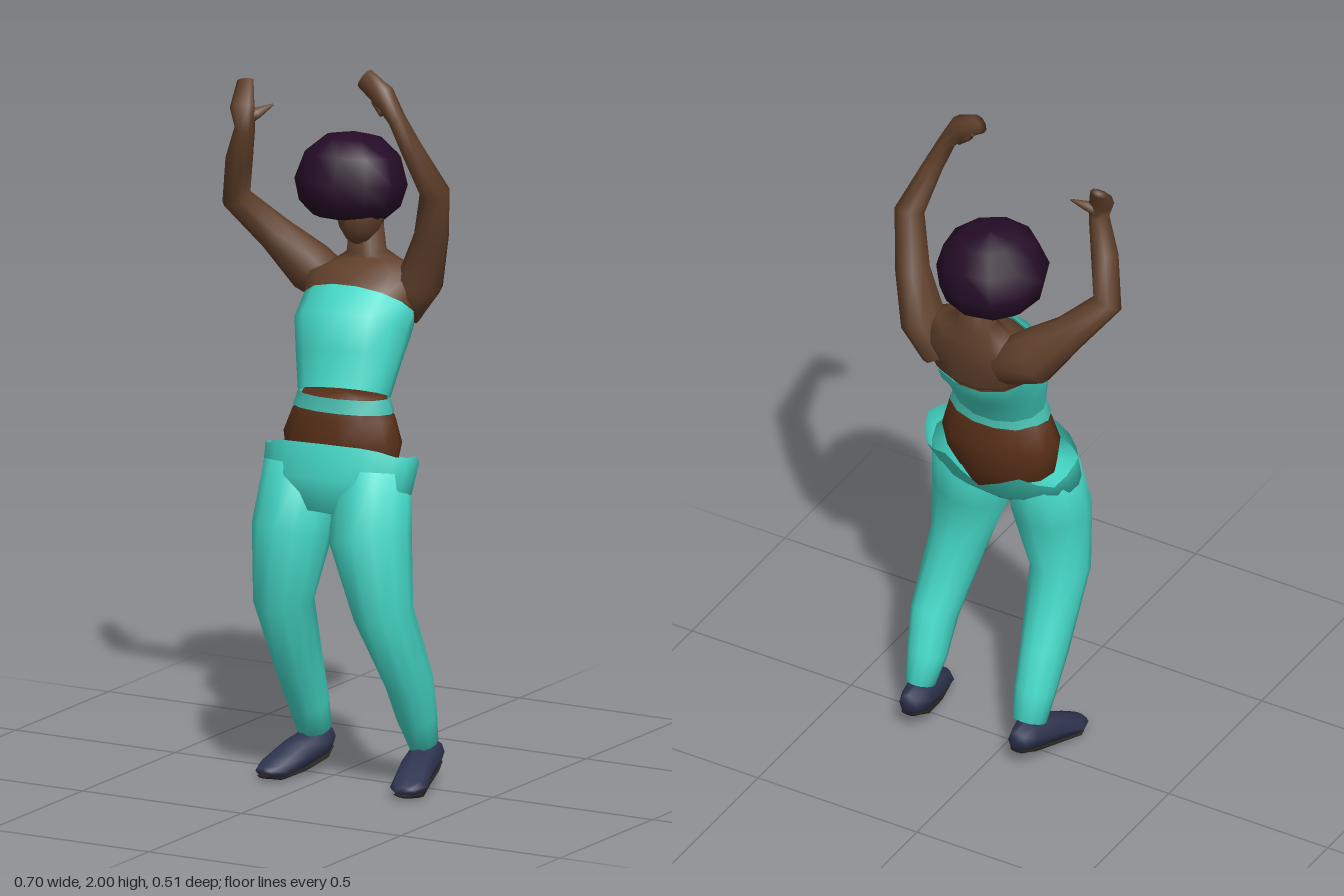
import * as THREE from 'three';

const mat = (name, color, side = THREE.FrontSide) => {
  const m = new THREE.MeshStandardMaterial({ color, side });
  m.name = name;
  return m;
};

// Skin over rings [x, y, z, rx, rz], each set square to the line through the centres.
function loft(rings, { sides = 12, capStart = true, capEnd = true, shape = null } = {}) {
  const pos = [], index = [];
  const centres = rings.map(r => new THREE.Vector3(r[0], r[1], r[2]));
  const last = rings.length - 1;
  rings.forEach((r, i) => {
    const t = centres[Math.min(i + 1, last)].clone().sub(centres[Math.max(i - 1, 0)]).normalize();
    const u = new THREE.Vector3(1, 0, 0).addScaledVector(t, -t.x).normalize();
    const v = new THREE.Vector3().crossVectors(u, t);
    for (let j = 0; j < sides; j++) {
      const a = (j / sides) * Math.PI * 2;
      const p = centres[i].clone()
        .addScaledVector(u, r[3] * Math.cos(a))
        .addScaledVector(v, r[4] * Math.sin(a));
      if (shape) shape(p, i, a);
      pos.push(p.x, p.y, p.z);
    }
  });
  for (let i = 0; i < last; i++) {
    for (let j = 0; j < sides; j++) {
      const k = (j + 1) % sides;
      const a = i * sides + j, b = i * sides + k, c = a + sides, d = b + sides;
      index.push(a, c, b, b, c, d);
    }
  }
  const cap = (i, flip) => {
    const centre = pos.length / 3;
    pos.push(...centres[i].toArray());
    for (let j = 0; j < sides; j++) {
      const a = i * sides + j, b = i * sides + (j + 1) % sides;
      index.push(centre, flip ? b : a, flip ? a : b);
    }
  };
  if (capStart) cap(0, false);
  if (capEnd) cap(last, true);
  const g = new THREE.BufferGeometry();
  g.setAttribute('position', new THREE.Float32BufferAttribute(pos, 3));
  g.setIndex(index);
  g.computeVertexNormals();
  return g;
}

export function createModel() {
  const model = new THREE.Group();
  model.name = 'dancer';
  const skin = mat('skin', 0x60402b);
  const belly = mat('belly skin', 0x5a3019);
  const teal = mat('teal cloth', 0x45d9c8, THREE.DoubleSide);
  const hem = mat('hem cloth', 0x48bfb1, THREE.DoubleSide);
  const hairMat = mat('hair', 0x250c27);
  const shoeMat = mat('shoe', 0x2f3550);
  const soleMat = mat('sole', 0x2b2822);
  const add = (name, geometry, material) => {
    const mesh = new THREE.Mesh(geometry, material);
    mesh.name = name;
    model.add(mesh);
    return mesh;
  };

  // Bare waist and pelvis
  add('waist', loft([
    [0.07, 0.80, 0.09, 0.12, 0.07], [0.065, 0.90, 0.07, 0.165, 0.095],
    [0.065, 0.975, 0.065, 0.178, 0.103], [0.07, 1.04, 0.067, 0.155, 0.094],
    [0.07, 1.10, 0.065, 0.12, 0.085],
  ], { sides: 14 }), belly);

  // Strapless top with its lower hem
  const topEdge = [0.055, 1.315, -0.045, 0.167, 0.115];
  add('topHem', loft([
    [0.07, 1.055, 0.07, 0.15, 0.098], [0.07, 1.095, 0.067, 0.135, 0.094],
  ], { sides: 14, capStart: false, capEnd: false }), hem);
  add('top', loft([
    [0.07, 1.095, 0.067, 0.135, 0.094], [0.062, 1.19, 0.028, 0.155, 0.108],
    [0.057, 1.265, 0.0, 0.167, 0.135], topEdge,
  ], { sides: 14, capStart: false, capEnd: false }), teal);

  // Shoulders, neck and head
  add('shoulders', loft([
    [0.055, 1.295, -0.035, 0.16, 0.11], topEdge.map((v, i) => (i > 2 ? v * 0.99 : v)),
    [0.05, 1.385, -0.085, 0.18, 0.085], [0.045, 1.425, -0.105, 0.115, 0.06],
    [0.04, 1.455, -0.108, 0.055, 0.05], [0.04, 1.55, -0.1, 0.048, 0.048],
  ], { sides: 14 }), skin);
  const head = add('head', new THREE.SphereGeometry(1, 12, 9), skin);
  head.scale.set(0.064, 0.1, 0.08);
  head.position.set(0.035, 1.575, -0.085);

  // Rounded hair, flat underneath
  const profile = [[0, -0.1], [0.1, -0.098], [0.14, -0.06], [0.156, 0.0], [0.132, 0.075], [0.08, 0.12], [0, 0.135]];
  const hair = add('hair', new THREE.LatheGeometry(profile.map(p => new THREE.Vector2(...p)), 11), hairMat);
  hair.position.set(-0.007, 1.645, -0.105);
  hair.rotation.set(-0.12, 0.2, 0);

  // Raised arms, each ending in a hand
  add('leftArm', loft([
    [0.165, 1.30, -0.09, 0.05, 0.06], [0.215, 1.39, -0.095, 0.063, 0.07],
    [0.265, 1.53, -0.07, 0.047, 0.052], [0.31, 1.67, -0.01, 0.042, 0.042],
    [0.268, 1.80, 0.045, 0.028, 0.034], [0.235, 1.88, 0.065, 0.024, 0.028],
    [0.19, 1.945, 0.065, 0.034, 0.033], [0.128, 1.982, 0.055, 0.03, 0.02],
  ], { sides: 9 }), skin);
  add('rightArm', loft([
    [-0.04, 1.34, -0.1, 0.06, 0.06], [-0.13, 1.39, -0.095, 0.08, 0.06],
    [-0.22, 1.48, -0.06, 0.052, 0.05], [-0.31, 1.58, -0.005, 0.042, 0.042],
    [-0.275, 1.70, 0.04, 0.038, 0.038], [-0.24, 1.80, 0.07, 0.028, 0.03],
    [-0.25, 1.855, 0.065, 0.036, 0.03], [-0.27, 1.918, 0.015, 0.024, 0.012],
  ], { sides: 9 }), skin);
  add('rightThumb', loft([
    [-0.25, 1.82, 0.065, 0.024, 0.022], [-0.215, 1.84, 0.045, 0.018, 0.015], [-0.18, 1.862, 0.02, 0.003, 0.003],
  ], { sides: 6 }), skin);
  add('leftThumb', loft([
    [0.2, 1.90, 0.07, 0.02, 0.02], [0.165, 1.925, 0.06, 0.014, 0.014], [0.14, 1.95, 0.04, 0.003, 0.003],
  ], { sides: 6 }), skin);

  // Baggy trousers: open waistband with a gathered rim, then two legs
  add('trouserSeat', loft([
    [0.07, 0.77, 0.13, 0.13, 0.07], [0.07, 0.85, 0.105, 0.225, 0.118], [0.068, 0.932, 0.072, 0.23, 0.13],
  ], {
    sides: 24, capEnd: false,
    shape: (p, i, a) => { if (i === 2) p.y += 0.012 * Math.cos(a * 6) * (1 - Math.sin(a)); },
  }), teal);
  const legs = {
    left: [
      [0.18, 0.89, 0.095, 0.105, 0.1], [0.195, 0.72, 0.14, 0.115, 0.108], [0.243, 0.52, 0.152, 0.083, 0.085],
      [0.265, 0.31, 0.05, 0.065, 0.072], [0.26, 0.20, 0.0, 0.055, 0.058], [0.263, 0.12, -0.03, 0.04, 0.046],
    ],
    right: [
      [-0.045, 0.89, 0.095, 0.105, 0.1], [-0.05, 0.72, 0.14, 0.112, 0.108], [-0.07, 0.52, 0.152, 0.083, 0.085],
      [-0.08, 0.31, 0.05, 0.065, 0.072], [-0.08, 0.20, 0.0, 0.057, 0.058], [-0.08, 0.12, -0.03, 0.048, 0.046],
    ],
  };

  // Shoes turn out slightly, heels a little raised
  const shoe = [
    [0, 0.085, -0.098, 0.028, 0.03], [0, 0.083, -0.05, 0.045, 0.048], [0.018, 0.06, 0.04, 0.05, 0.043],
    [0.042, 0.033, 0.12, 0.053, 0.025], [0.05, 0.028, 0.157, 0.03, 0.012],
  ];
  for (const [side, x, turn] of [['left', 0.262, 1], ['right', -0.08, -1]]) {
    add(side + 'TrouserLeg', loft([...legs[side]].reverse(), { sides: 12 }), teal);
    const rings = shoe.map(r => [x + turn * r[0], r[1], r[2], r[3], r[4]]);
    add(side + 'Shoe', loft(rings, { sides: 8 }), shoeMat);
    add(side + 'Sole', loft(rings.map(r => [r[0], r[1] - r[4] * 0.92, r[2], r[3] * 0.8, 0.006]), { sides: 8 }), soleMat);
  }
  return model;
}
